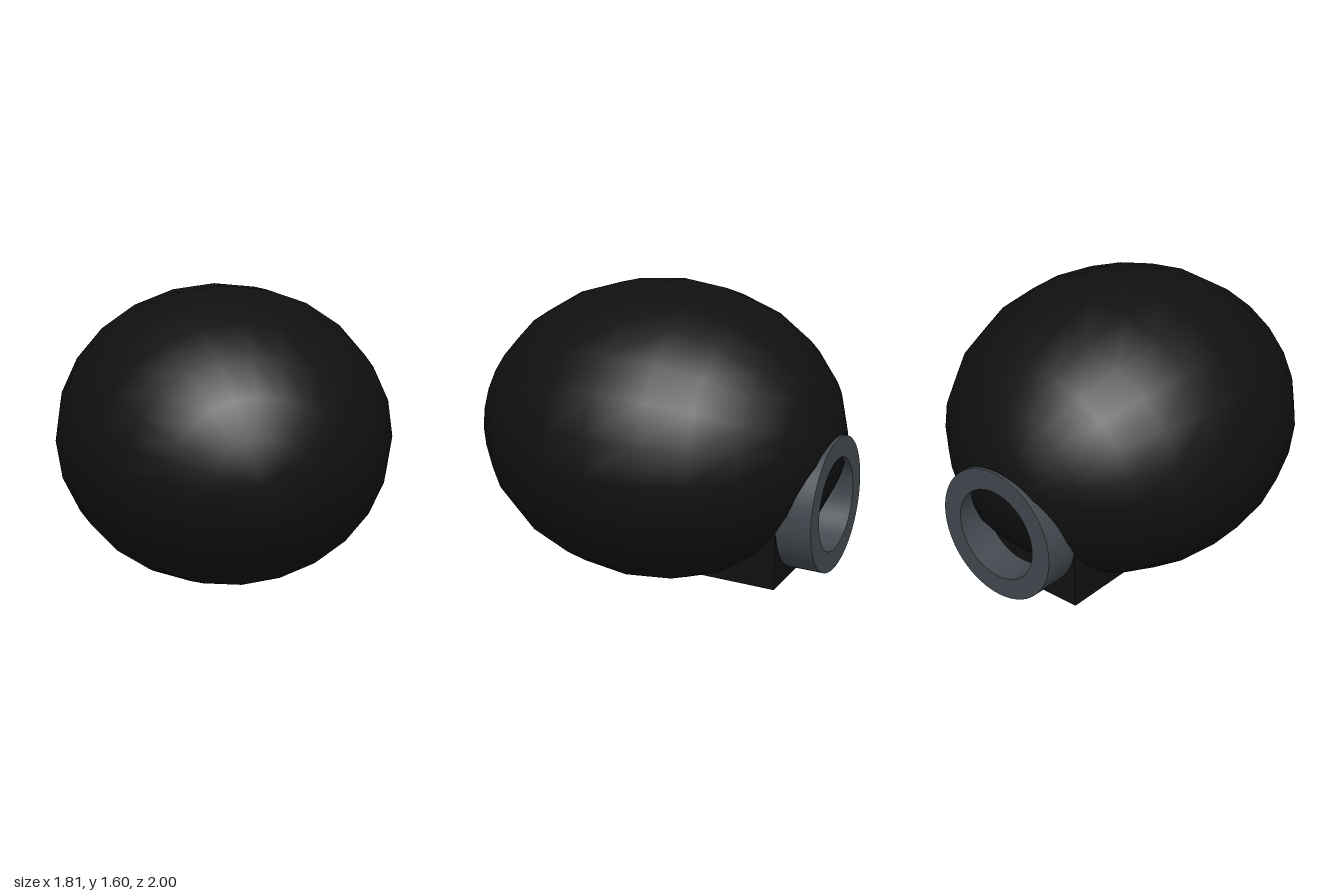
import * as THREE from 'three';
import { toCreasedNormals } from 'three/addons/utils/BufferGeometryUtils.js';

export function createModel() {
  const group = new THREE.Group();
  const black = new THREE.MeshStandardMaterial({ color: 0x101010 });
  black.name = 'matte black';
  const grey = new THREE.MeshStandardMaterial({ color: 0x41484e });
  grey.name = 'slate grey';

  const add = (name, geometry, material) => {
    const mesh = new THREE.Mesh(geometry, material);
    mesh.name = name;
    group.add(mesh);
  };

  // Ellipsoid body, poles facing front and back
  const body = new THREE.SphereGeometry(1, 24, 12);
  body.rotateX(Math.PI / 2);
  body.scale(0.905, 0.8, 1);
  body.translate(0, 0.8, 0);
  add('body', body, black);

  // Square block that carries the ring, mostly buried in the body
  const block = new THREE.BoxGeometry(0.72, 0.74, 0.5);
  block.translate(0, 0.52, -0.56);
  add('mountBlock', block, black);

  // Hollow collar at the back
  const outline = new THREE.Shape().absarc(0, 0, 0.3625, 0, Math.PI * 2);
  outline.holes.push(new THREE.Path().absarc(0, 0, 0.25, 0, Math.PI * 2, true));
  const collar = new THREE.ExtrudeGeometry(outline, {
    depth: 0.2, bevelEnabled: false, curveSegments: 48,
  });
  collar.translate(0, 0.5275, -1);
  add('rearCollar', toCreasedNormals(collar, 0.6), grey);

  return group;
}
